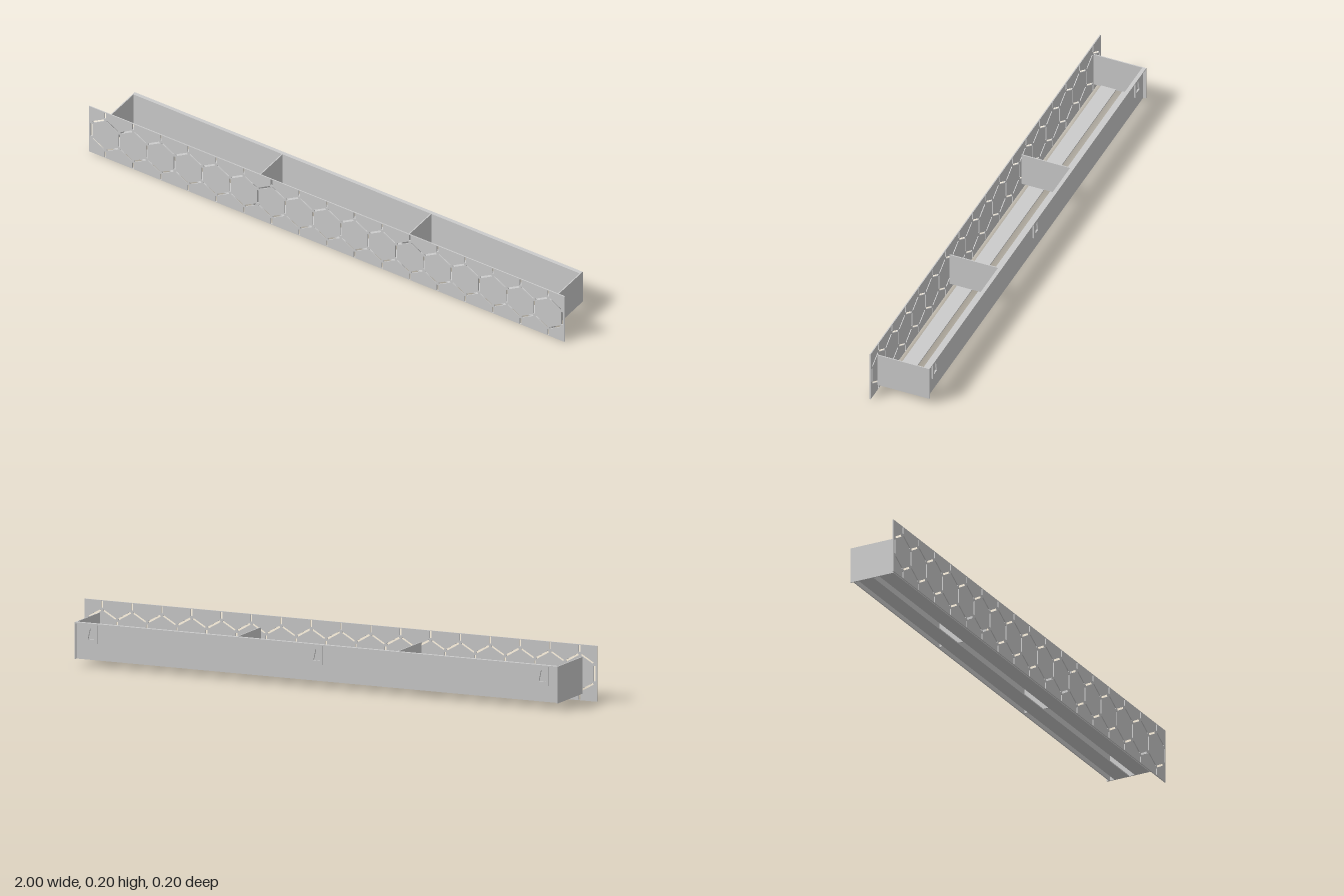
import * as THREE from 'three';

const material = new THREE.MeshStandardMaterial({ color: 0xcccccc, flatShading: true });
const T = 0.004; // sheet thickness

function add(group, name, geometry, x = 0, y = 0, z = 0) {
  const mesh = new THREE.Mesh(geometry, material);
  mesh.name = name;
  mesh.position.set(x, y, z);
  group.add(mesh);
}

// Box given by its limits on each axis
function box(group, name, [x0, x1], [y0, y1], [z0, z1]) {
  add(group, name, new THREE.BoxGeometry(x1 - x0, y1 - y0, z1 - z0),
    (x0 + x1) / 2, (y0 + y1) / 2, (z0 + z1) / 2);
}

function polygon(points, Type = THREE.Shape) {
  return new Type(points.map(([x, y]) => new THREE.Vector2(x, y)));
}

// Narrow slit between two points, stopping short of both to leave bridges
function slit(x0, y0, x1, y1, width = 0.007, gap = 0.006) {
  const length = Math.hypot(x1 - x0, y1 - y0);
  const ux = (x1 - x0) / length, uy = (y1 - y0) / length;
  const nx = -uy * width / 2, ny = ux * width / 2;
  const ax = x0 + ux * gap, ay = y0 + uy * gap, bx = x1 - ux * gap, by = y1 - uy * gap;
  return polygon([[ax + nx, ay + ny], [ax - nx, ay - ny], [bx - nx, by - ny], [bx + nx, by + ny]], THREE.Path);
}

// Front plate pierced by a row of honeycomb outlines
function frontPanel() {
  const shape = polygon([[-1, 0], [1, 0], [1, 0.2], [-1, 0.2]]);
  const count = 17, pitch = 0.1165, radius = pitch / Math.sqrt(3), mid = 0.1;
  for (let i = 0; i <= count; i++) {
    const edge = (i - count / 2) * pitch;
    shape.holes.push(slit(edge, mid - radius / 2, edge, mid + radius / 2));
    if (i === count) break;
    const cx = edge + pitch / 2;
    for (const s of [-1, 1]) {
      const tip = mid + s * radius, shoulder = mid + s * radius / 2;
      shape.holes.push(slit(edge, shoulder, cx, tip));
      shape.holes.push(slit(cx, tip, edge + pitch, shoulder));
      shape.holes.push(slit(cx, tip, cx, mid + s * 0.104));
    }
  }
  return new THREE.ExtrudeGeometry(shape, { depth: T, bevelEnabled: false });
}

// Hanging plate with a tapering hole
function hanger() {
  const shape = polygon([[-0.023, 0], [0.023, 0], [0.023, 0.07], [-0.023, 0.07]]);
  shape.holes.push(polygon([[-0.013, 0.014], [0.013, 0.014], [0.004, 0.055], [-0.004, 0.055]], THREE.Path));
  return new THREE.ExtrudeGeometry(shape, { depth: 0.006, bevelEnabled: false });
}

export function createModel() {
  const model = new THREE.Group();
  model.name = 'wallPlanter';
  const W = 0.943, bottom = 0.024, top = 0.156, back = -0.102, wall = -0.09, front = 0.098;

  add(model, 'frontPanel', frontPanel(), 0, 0, front);

  // Back wall set in behind a top flange
  box(model, 'backWall', [-W, W], [bottom, top], [wall - T / 2, wall + T / 2]);
  box(model, 'topFlange', [-W, W], [top - T, top], [back, wall]);

  // Side walls and dividers
  for (const s of [-1, 1]) {
    const x = s * (W - T / 2), d = s * 0.313;
    box(model, 'endWall', [x - T / 2, x + T / 2], [bottom, top], [back, front]);
    box(model, 'divider', [d - T / 2, d + T / 2], [bottom + T, top], [wall, front]);
  }

  // Two floor slats with open gaps between
  box(model, 'rearSlat', [-W, W], [bottom, bottom + T], [-0.07, -0.012]);
  box(model, 'frontSlat', [-W, W], [bottom, bottom + T], [0.012, 0.07]);

  // Hangers in the recess at the back
  for (const x of [-0.88, 0, 0.88]) add(model, 'hanger', hanger(), x, 0.083, wall - T / 2 - 0.006);

  return model;
}
